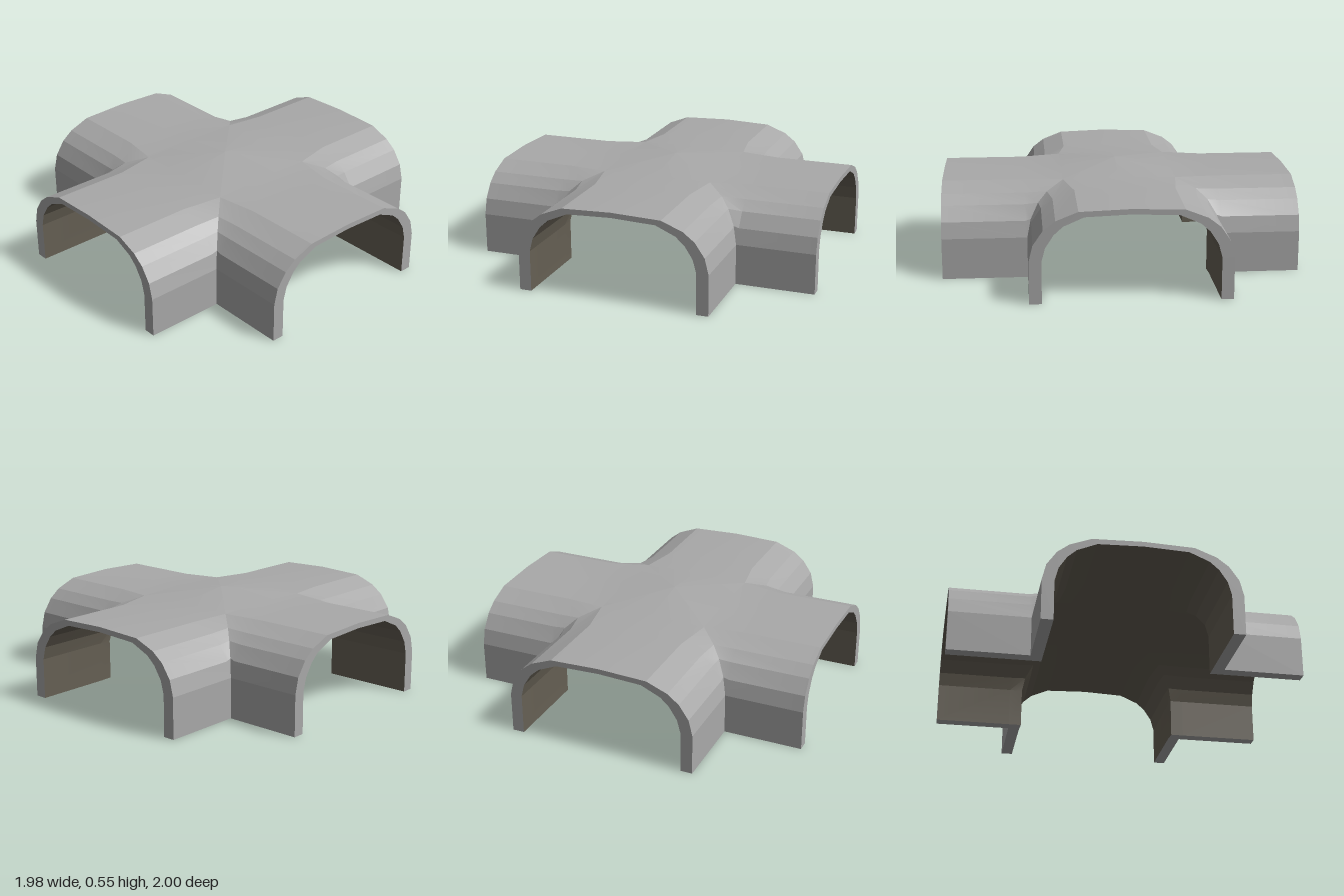
import * as THREE from 'three';
import { mergeGeometries, toCreasedNormals } from 'three/addons/utils/BufferGeometryUtils.js';

// Half profiles [x, y] from the foot to the crown
const OUTER = [[0.542, 0], [0.542, 0.23], [0.52, 0.32], [0.465, 0.4], [0.4, 0.45], [0.28, 0.497], [0, 0.507]];
const INNER = [[0.475, 0], [0.475, 0.23], [0.455, 0.305], [0.41, 0.375], [0.36, 0.42], [0.25, 0.468], [0, 0.478]];
// Profiles along the diagonal seams where two arms meet
const OUTER_SEAM = [[0.542, 0], [0.542, 0.23], [0.52, 0.33], [0.475, 0.41], [0.42, 0.46], [0.32, 0.502], [0, 0.51]];
const INNER_SEAM = [[0.475, 0], [0.475, 0.23], [0.46, 0.31], [0.42, 0.385], [0.375, 0.43], [0.29, 0.473], [0, 0.483]];

// Mirror a half profile into a full arch, placing z with a rule
function arch(half, zOf) {
  const right = half.map(([x, y]) => [x, y, zOf(x)]);
  const left = right.slice(0, -1).map(([x, y, z]) => [-x, y, z]);
  return [...left, ...right.reverse()];
}

// Three rings: open end, start of the junction, diagonal seam
function rings(half, seam, length) {
  const crown = seam[seam.length - 2][0];
  return [arch(half, () => length), arch(half, () => 0.55), arch(seam, x => Math.max(x, crown))];
}

// Turn corner lists into a geometry facing one of the four sides
function finish(pos, turn) {
  const geo = new THREE.BufferGeometry();
  geo.setAttribute('position', new THREE.Float32BufferAttribute(pos, 3));
  geo.rotateY(turn * Math.PI / 2);

  // The left arm sits slightly towards the back
  const p = geo.attributes.position;
  for (let i = 0; i < p.count; i++) {
    const k = THREE.MathUtils.clamp((p.getX(i) - 0.3) / 0.24, 0, 1);
    if (Math.abs(p.getZ(i)) < 0.9) p.setZ(i, p.getZ(i) - 0.015 * k);
  }
  return geo;
}

// One arm of the vault: its grey shell with edges, and its dark lining
function arm(turn) {
  const shell = [], lining = [];
  const tri = (list, ...points) => points.forEach(p => list.push(...p));
  const quad = (list, a, b, c, d) => { tri(list, a, b, c); tri(list, a, c, d); };
  const length = turn % 2 ? 0.99 : 1;
  const out = rings(OUTER, OUTER_SEAM, length), inn = rings(INNER, INNER_SEAM, length);
  const last = out[0].length - 1;

  // Outer and inner skins
  for (let r = 0; r < 2; r++) {
    for (let i = 0; i < last; i++) {
      quad(shell, out[r][i], out[r][i + 1], out[r + 1][i + 1], out[r + 1][i]);
      quad(lining, inn[r][i], inn[r + 1][i], inn[r + 1][i + 1], inn[r][i + 1]);
    }
    // Soles of both side walls
    quad(shell, out[r][0], out[r + 1][0], inn[r + 1][0], inn[r][0]);
    quad(shell, out[r][last], inn[r][last], inn[r + 1][last], out[r + 1][last]);
  }
  // Rim of the open end
  for (let i = 0; i < last; i++) quad(shell, inn[0][i], inn[0][i + 1], out[0][i + 1], out[0][i]);
  // Quarter of the shallow raised centre
  for (let i = 5; i < 7; i++) {
    tri(shell, out[2][i], out[2][i + 1], [0, 0.553, 0]);
    tri(lining, inn[2][i], [0, 0.515, 0], inn[2][i + 1]);
  }
  return { shell: finish(shell, turn), lining: finish(lining, turn) };
}

export function createModel() {
  const model = new THREE.Group();
  model.name = 'tunnelJunction';
  const grey = new THREE.MeshStandardMaterial({ color: 0xa9a9a9 });
  grey.name = 'lightGrey';
  const brown = new THREE.MeshStandardMaterial({ color: 0x666054 });
  brown.name = 'darkBrownGrey';

  // Join the four arms so the seams shade continuously
  const arms = [0, 1, 2, 3].map(arm);
  const add = (name, part, material) => {
    const geo = mergeGeometries(arms.map(a => a[part]));
    const mesh = new THREE.Mesh(toCreasedNormals(geo, 0.2), material);
    mesh.name = name;
    model.add(mesh);
  };
  add('outerVault', 'shell', grey);
  add('innerLining', 'lining', brown);
  return model;
}
